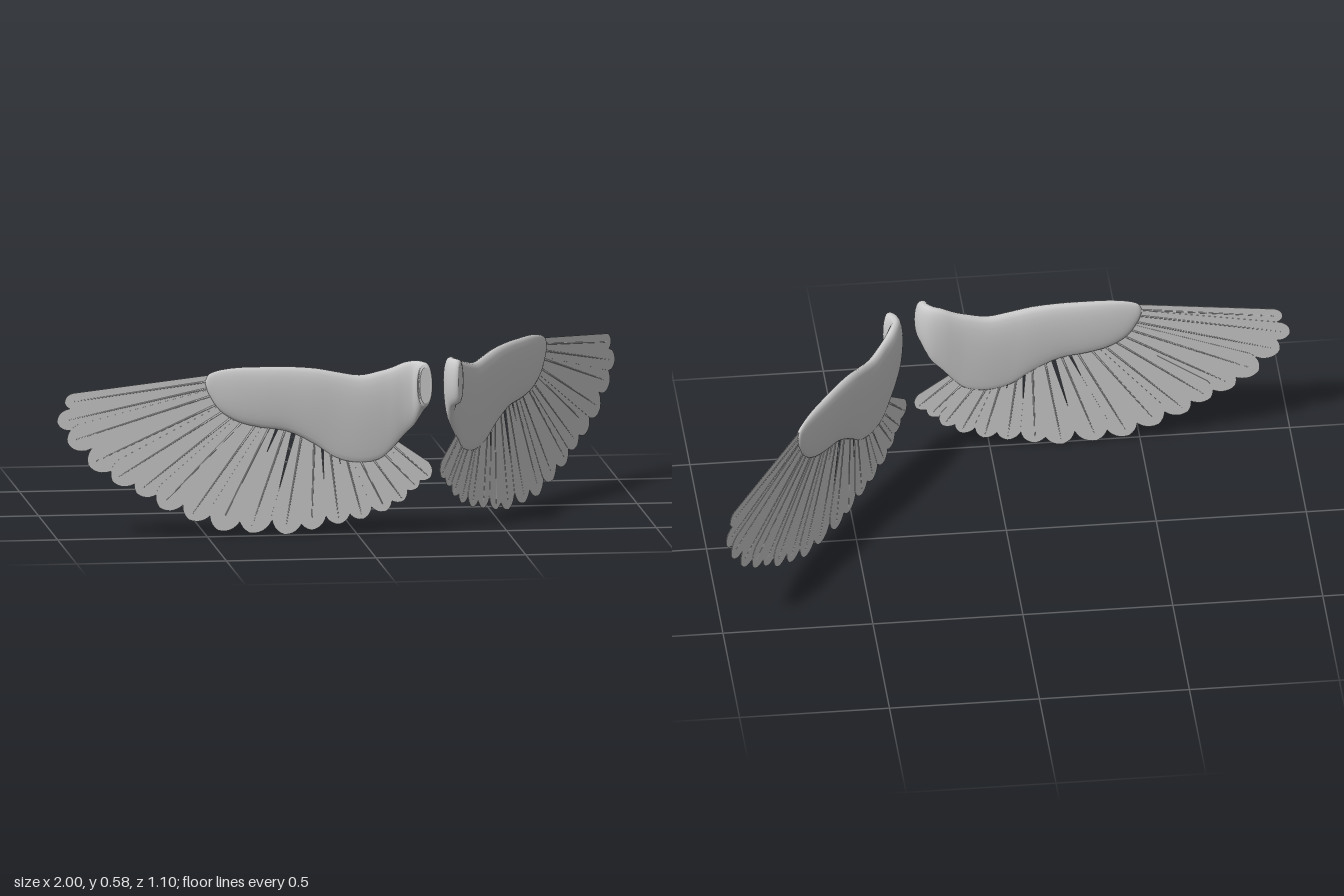
import * as THREE from 'three';

const material = new THREE.MeshStandardMaterial({ color: 0xcccccc });
const bladeMaterial = new THREE.MeshStandardMaterial({ color: 0xcccccc, side: THREE.DoubleSide });

// Arm stations from shoulder to wrist: outward, forward, top, bottom, half thickness
const ARM = [
  [0.028, 0.062, 0.562, 0.442, 0.018], [0.028, 0.054, 0.575, 0.428, 0.027],
  [0.034, 0.030, 0.578, 0.412, 0.027], [0.055, 0.009, 0.578, 0.365, 0.028],
  [0.090, 0.001, 0.572, 0.328, 0.029], [0.130, 0, 0.556, 0.283, 0.029],
  [0.170, 0, 0.545, 0.249, 0.029], [0.240, 0, 0.532, 0.237, 0.030],
  [0.320, 0, 0.545, 0.256, 0.030], [0.390, 0, 0.558, 0.303, 0.030],
  [0.480, 0, 0.565, 0.347, 0.027], [0.570, 0, 0.566, 0.362, 0.025],
  [0.645, 0, 0.565, 0.382, 0.021], [0.705, 0, 0.558, 0.420, 0.015],
  [0.742, 0, 0.545, 0.475, 0.010], [0.754, 0, 0.525, 0.508, 0.004],
];

// Feathers from wing tip to body: tip outward, tip height, base outward, base height
const FEATHERS = [
  [1.225, 0.458, 0.71, 0.525], [1.250, 0.392, 0.71, 0.505], [1.216, 0.325, 0.71, 0.480],
  [1.146, 0.248, 0.69, 0.455], [1.066, 0.193, 0.67, 0.435], [0.985, 0.150, 0.64, 0.420],
  [0.908, 0.100, 0.61, 0.405], [0.811, 0.058, 0.57, 0.395], [0.713, 0.020, 0.53, 0.385],
  [0.607, 0.009, 0.48, 0.375], [0.490, 0.001, 0.43, 0.350], [0.400, 0.014, 0.39, 0.330],
  [0.307, 0.032, 0.34, 0.300], [0.228, 0.047, 0.29, 0.280], [0.150, 0.073, 0.25, 0.270],
  [0.092, 0.106, 0.21, 0.270], [0.046, 0.148, 0.17, 0.280], [0.003, 0.182, 0.13, 0.295],
];

// Lofted arm: a thick, rounded leading edge thinning downwards, hooked forward at the shoulder
function armGeometry(hook) {
  const path = new THREE.CatmullRomCurve3(
    ARM.map(([u, w, , , t]) => new THREE.Vector3(u, t, w * hook)), false, 'catmullrom');
  const span = new THREE.CatmullRomCurve3(
    ARM.map(([, , top, bottom]) => new THREE.Vector3(top, bottom, 0)), false, 'catmullrom');
  const rings = 60, sides = 24, up = new THREE.Vector3(0, 1, 0);
  const positions = [], index = [];

  for (let i = 0; i <= rings; i++) {
    const p = path.getPoint(i / rings), s = span.getPoint(i / rings);
    const along = path.getTangent(i / rings).setY(0).normalize();
    const across = along.cross(up);
    const height = s.x - s.y;
    const taper = THREE.MathUtils.clamp((height - 0.14) / 0.15, 0, 1) * 0.65;
    for (let j = 0; j < sides; j++) {
      const a = (j / sides) * Math.PI * 2, c = Math.cos(a), n = Math.sin(a);
      const down = (1 - c) / 2;
      const d = p.y * Math.sign(n) * Math.abs(n) ** 0.8 * (1 - taper * down);
      positions.push(p.x + across.x * d, s.x - height * down, p.z + across.z * d);
    }
  }
  for (let i = 0; i < rings; i++) {
    for (let j = 0; j < sides; j++) {
      const k = (j + 1) % sides;
      const a = i * sides + j, b = i * sides + k;
      index.push(a, b, a + sides, b, b + sides, a + sides);
    }
  }
  // Flat end caps with their own corners, so the edges stay crisp
  for (const ring of [0, rings]) {
    const start = positions.length / 3;
    positions.push(...positions.slice(ring * sides * 3, (ring + 1) * sides * 3));
    for (let j = 1; j < sides - 1; j++) {
      if (ring === 0) index.push(start, start + j + 1, start + j);
      else index.push(start, start + j, start + j + 1);
    }
  }
  const geometry = new THREE.BufferGeometry();
  geometry.setAttribute('position', new THREE.Float32BufferAttribute(positions, 3));
  geometry.setIndex(index);
  geometry.computeVertexNormals();
  return geometry;
}

// One flat feather pointing along +x, with a fine shaft down its middle
function makeFeather(length, half) {
  const feather = new THREE.Group();
  const shoulder = length - half * 1.1;
  const outline = new THREE.Shape();
  outline.moveTo(0, -0.02);
  outline.lineTo(shoulder, -half);
  outline.quadraticCurveTo(length - half * 0.15, -half * 0.85, length, 0);
  outline.quadraticCurveTo(length - half * 0.15, half * 0.85, shoulder, half);
  outline.lineTo(0, 0.02);
  const blade = new THREE.Mesh(
    new THREE.ExtrudeGeometry(outline, { depth: 0.002, bevelEnabled: false, curveSegments: 6 })
      .translate(0, 0, -0.001), bladeMaterial);
  blade.name = 'featherBlade';

  const shaftLength = length * 0.94;
  const shaft = new THREE.Mesh(
    new THREE.CylinderGeometry(0.0015, 0.0035, shaftLength, 6)
      .rotateZ(-Math.PI / 2).translate(shaftLength / 2, 0, 0), material);
  shaft.name = 'featherShaft';
  feather.add(blade, shaft);
  return feather;
}

// Wing reaching out along +x; hook is the side (+1 or -1) the shoulder bends to
function makeWing(name, hook) {
  const wing = new THREE.Group();
  wing.name = name;
  const arm = new THREE.Mesh(armGeometry(hook), material);
  arm.name = 'wingArm';
  wing.add(arm);

  FEATHERS.forEach(([tipU, tipY, baseU, baseY], i) => {
    const near = FEATHERS[Math.max(i - 1, 0)];
    const far = FEATHERS[Math.min(i + 1, FEATHERS.length - 1)];
    const steps = i === 0 || i === FEATHERS.length - 1 ? 1 : 2;
    const gap = Math.hypot(far[0] - near[0], far[1] - near[1]) / steps;
    const half = i === 0 ? 0.028 : Math.max(gap * 0.52, 0.036);
    const feather = makeFeather(Math.hypot(tipU - baseU, tipY - baseY), half);
    feather.name = 'feather' + (i + 1);
    feather.position.set(baseU, baseY, (i % 2 - 0.5) * 0.001);
    feather.rotation.z = Math.atan2(tipY - baseY, tipU - baseU);
    wing.add(feather);
  });
  return wing;
}

export function createModel() {
  const model = new THREE.Group();
  model.name = 'wings';

  // Left wing swept backwards
  const left = makeWing('leftWing', 1);
  left.position.set(0.282, 0, 0.472);
  left.rotation.y = THREE.MathUtils.degToRad(55.2);

  // Right wing straight out to the side, turned around with its shoulder still bent forward
  const right = makeWing('rightWing', -1);
  right.position.set(0.25, 0, 0.485);
  right.rotation.y = Math.PI;

  model.add(left, right);
  return model;
}
